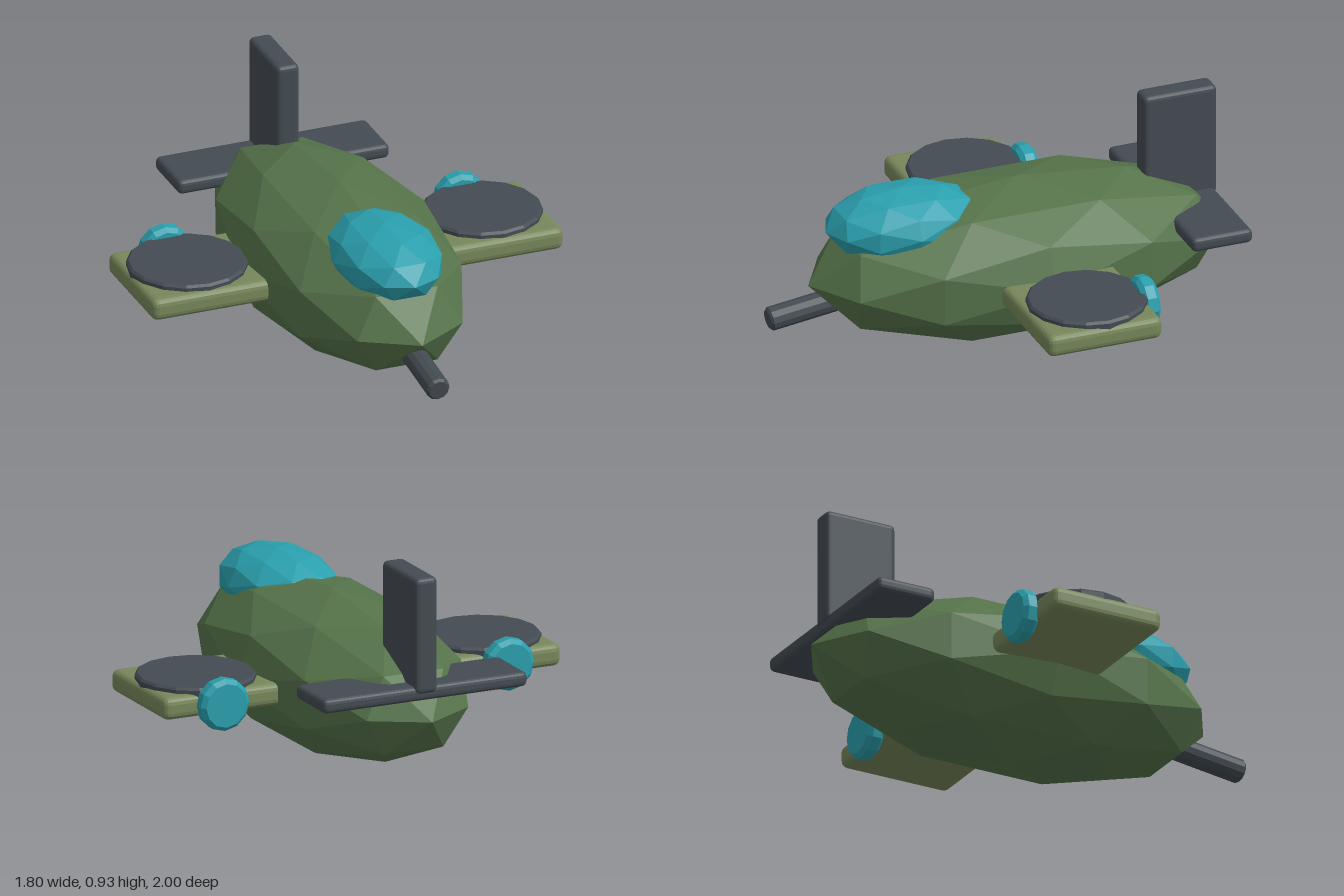
import * as THREE from 'three';
import { RoundedBoxGeometry } from 'three/addons/geometries/RoundedBoxGeometry.js';

const paint = (color) => new THREE.MeshStandardMaterial({ color, flatShading: true });
const green = paint(0x55734a);
const olive = paint(0x76875a);
const dark = paint(0x434b52);
const teal = paint(0x2a9fad);

export function createModel() {
  const model = new THREE.Group();

  const add = (name, geometry, material, x, y, z) => {
    const mesh = new THREE.Mesh(geometry, material);
    mesh.name = name;
    mesh.position.set(x, y, z);
    model.add(mesh);
    return mesh;
  };

  // Faceted ellipsoid with a vertex at each end of its axes
  const facetedEgg = (rx, ry, rz) =>
    new THREE.IcosahedronGeometry(1, 1).rotateZ(Math.PI / 2).scale(rx, ry, rz);

  // Box with small bevelled edges
  const bevelBox = (w, h, d, bevel = 0.022) => new RoundedBoxGeometry(w, h, d, 2, bevel);

  // Cylinder along y with chamfered rims
  const bevelCylinder = (r, h, sides, c) =>
    new THREE.LatheGeometry(
      [
        [0, -h / 2], [r - c, -h / 2], [r, -h / 2 + c],
        [r, h / 2 - c], [r - c, h / 2], [0, h / 2],
      ].map(([px, py]) => new THREE.Vector2(px, py)),
      sides
    );

  // Hull and canopy
  add('fuselage', facetedEgg(0.437, 0.33, 0.91), green, 0, 0.333, -0.09);
  add('canopy', facetedEgg(0.225, 0.145, 0.335), teal, 0, 0.56, 0.41);

  // Nose gun, tipped slightly downward
  const gun = add('noseGun', bevelCylinder(0.05, 0.44, 12, 0.01), dark, 0, 0.242, 0.778);
  gun.rotation.x = Math.PI / 2 + 0.13;

  // Wings with lift fans and rear thrusters, mirrored
  for (const [side, s] of [['left', 1], ['right', -1]]) {
    add(side + 'Wing', bevelBox(0.6, 0.095, 0.5, 0.03), olive, s * 0.6, 0.333, -0.12);
    add(side + 'LiftFan', bevelCylinder(0.248, 0.07, 16, 0.01), dark, s * 0.645, 0.37, -0.137);
    const thruster = add(side + 'Thruster', bevelCylinder(0.11, 0.075, 12, 0.018), teal, s * 0.645, 0.335, -0.387);
    thruster.rotation.x = Math.PI / 2;
  }

  // Tail
  add('tailplane', bevelBox(0.925, 0.062, 0.265), dark, 0, 0.44, -0.81);
  add('tailFin', bevelBox(0.1, 0.49, 0.32), dark, 0, 0.685, -0.793);

  return model;
}
